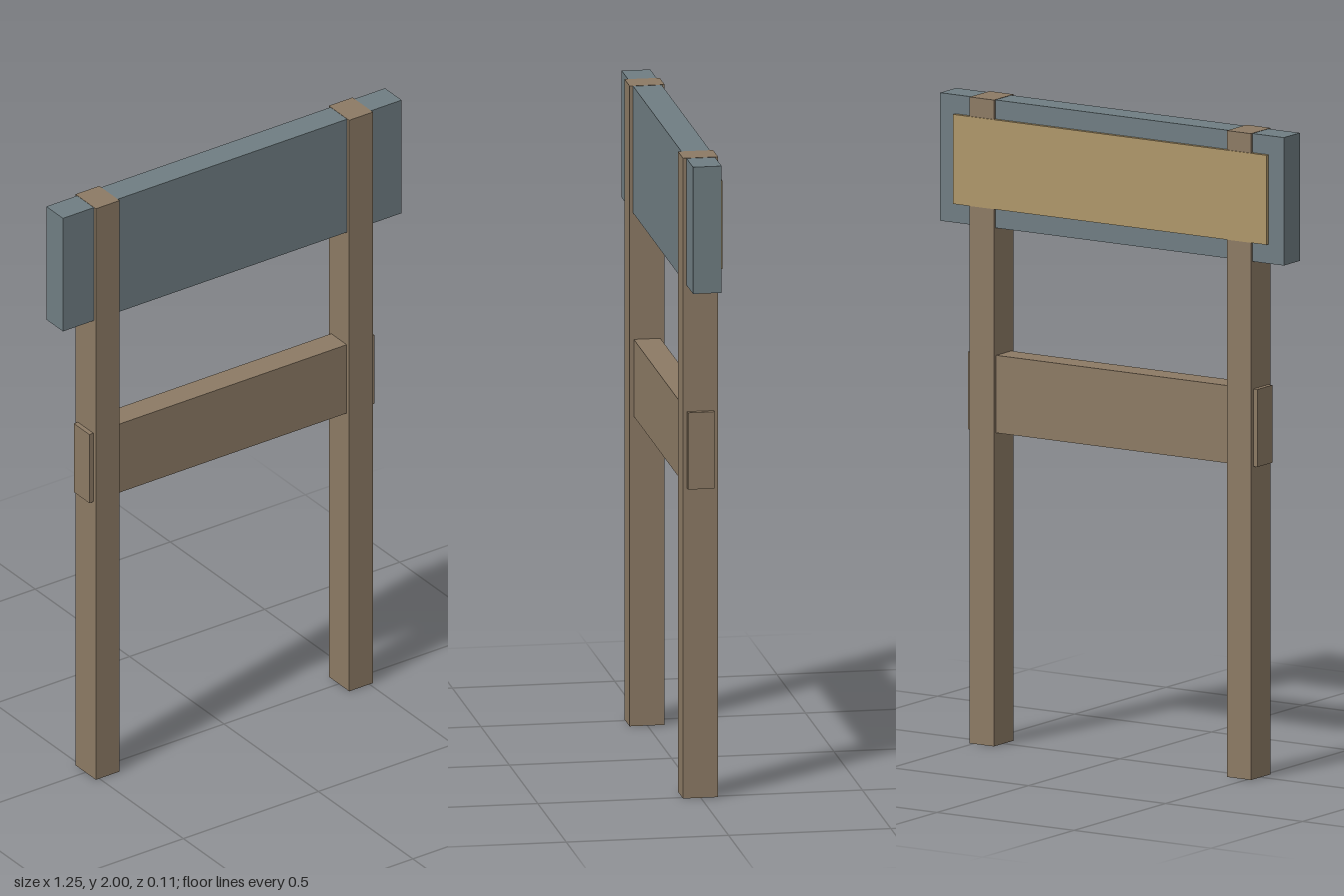
import * as THREE from 'three';

export function createModel() {
  const model = new THREE.Group();
  const material = (name, color) => {
    const m = new THREE.MeshStandardMaterial({ color });
    m.name = name;
    return m;
  };
  const wood = material('brown wood', 0x8c7a64);
  const slate = material('slate grey', 0x6f7d82);
  const tan = material('tan plate', 0xae9669);

  // Box given by its lower and upper limits on each axis
  const box = (name, mat, [x0, x1], [y0, y1], [z0, z1]) => {
    const mesh = new THREE.Mesh(new THREE.BoxGeometry(x1 - x0, y1 - y0, z1 - z0), mat);
    mesh.position.set((x0 + x1) / 2, (y0 + y1) / 2, (z0 + z1) / 2);
    mesh.name = name;
    model.add(mesh);
  };

  // Two upright posts, their tops just proud of the board
  for (const [name, x] of [['leftPost', 0.469], ['rightPost', -0.469]]) {
    box(name, wood, [x - 0.044, x + 0.044], [0, 2], [-0.053, 0.055]);
  }

  // Rail passing through both posts
  box('crossRail', wood, [-0.528, 0.528], [0.968, 1.208], [-0.04, 0.042]);

  // Sign board with a thin plate on its back
  box('signBoard', slate, [-0.627, 0.627], [1.603, 1.999], [-0.044, 0.044]);
  box('backPlate', tan, [-0.572, 0.572], [1.663, 1.94], [-0.056, -0.043]);

  return model;
}
